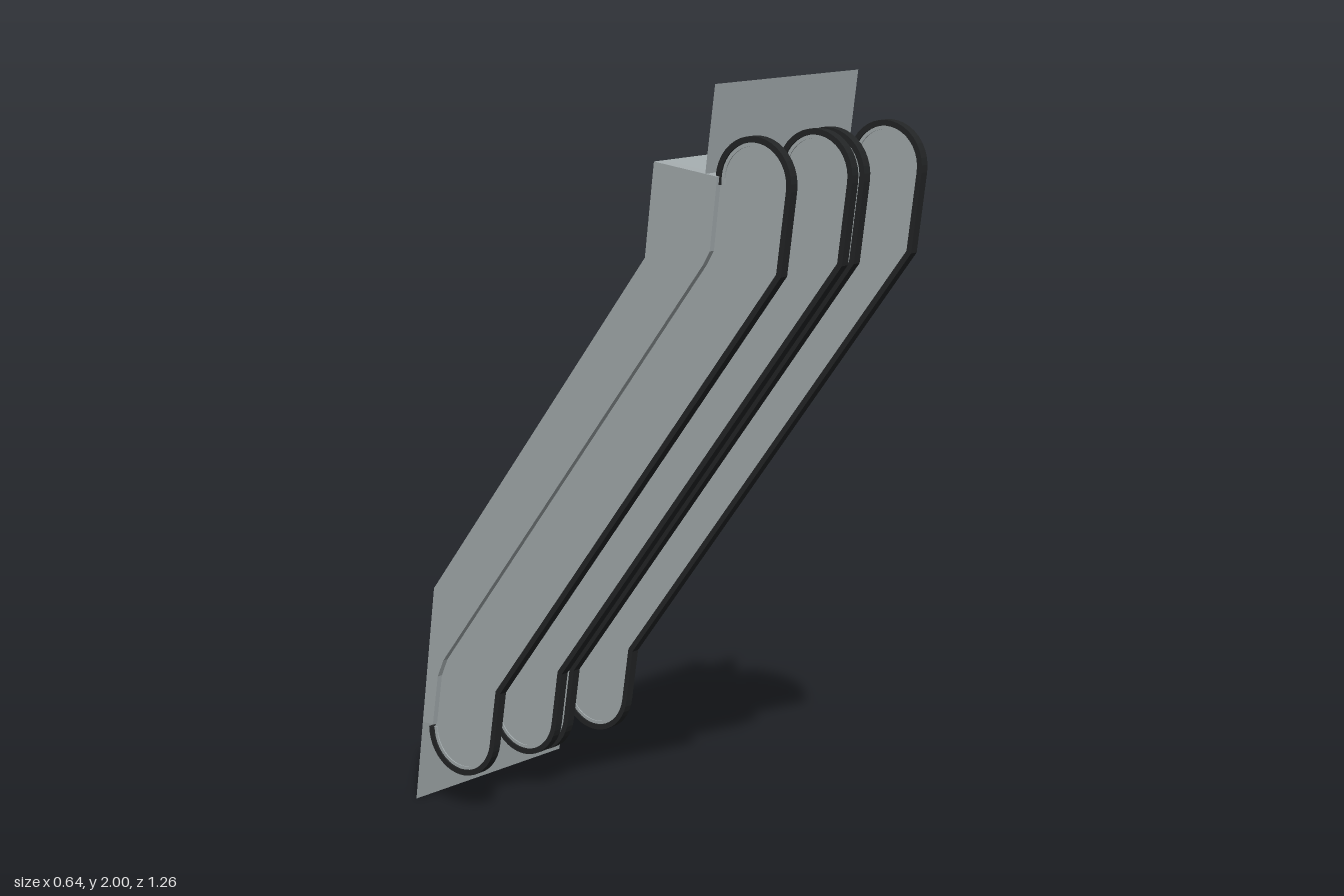
import * as THREE from 'three';

// Profiles are lists of [z, y]; every part is a profile swept across x.
const UNDERSIDE = [[0.365, 1.776], [0.206, 1.8], [0.177, 1.558], [-0.547, 0.604], [-0.623, 0]];
const TOP_LANDING = [[0.395, 2], [0.36, 1.738]];
const DECK = [[0.402, 1.775], [0.38, 1.59], [0.358, 1.553], [-0.517, 0.408], [-0.538, 0.36], [-0.558, 0.223]];
const T = [0.13, 0.9915]; // direction along a tread
const N = [0.9915, -0.13]; // direction out of a tread

const material = (name, color, side = THREE.FrontSide) => {
  const m = new THREE.MeshStandardMaterial({ color, side });
  m.name = name;
  return m;
};

// Solid: closed profile extruded to a width centred on x
function slab(profile, x, width) {
  const shape = new THREE.Shape(profile.map(([z, y]) => new THREE.Vector2(z, y)));
  const g = new THREE.ExtrudeGeometry(shape, { depth: width, bevelEnabled: false });
  return g.translate(0, 0, -width / 2).rotateY(-Math.PI / 2).translate(x, 0, 0);
}

// Sheet: open profiles swept from x0 to x1, with flat facets
function sheet(strips) {
  const pos = [];
  for (const { profile, x0, x1 } of strips) {
    for (let i = 0; i < profile.length - 1; i++) {
      const [az, ay] = profile[i], [bz, by] = profile[i + 1];
      pos.push(x0, ay, az, x0, by, bz, x1, by, bz, x0, ay, az, x1, by, bz, x1, ay, az);
    }
  }
  const g = new THREE.BufferGeometry();
  g.setAttribute('position', new THREE.Float32BufferAttribute(pos, 3));
  g.computeVertexNormals();
  return g;
}

// Balustrade outline, inset by k: top newel arc, two bends, bottom newel arc
function outline(k) {
  const pts = [];
  const arc = (cz, cy, r, from, to) => {
    for (let i = 0; i <= 20; i++) {
      const a = THREE.MathUtils.degToRad(from + (to - from) * i / 20);
      pts.push([cz + (r - k) * Math.cos(a), cy + (r - k) * Math.sin(a)]);
    }
  };
  arc(0.504, 1.765, 0.114, 186, -7.5);
  pts.push([0.589 - 0.95 * k, 1.542 + 0.39 * k], [-0.325 - 0.95 * k, 0.344 + 0.39 * k]);
  arc(-0.463, 0.212, 0.117, -7.5, -180);
  return pts;
}

const along = (p, t, n) => [p[0] + T[0] * t + N[0] * n, p[1] + T[1] * t + N[1] * n];

export function createModel() {
  const panelGrey = material('panel grey', 0xa4acae);
  const sheetGrey = material('cladding grey', 0xa4acae, THREE.DoubleSide);
  const rubber = material('handrail black', 0x232526);
  const stepGrey = material('step grey', 0x6c6c6c, THREE.DoubleSide);
  const yellow = material('safety yellow', 0xb8a61e, THREE.DoubleSide);

  const model = new THREE.Group();
  model.name = 'twinEscalator';
  const add = (parent, name, geometry, mat) => {
    const m = new THREE.Mesh(geometry, mat);
    m.name = name;
    parent.add(m);
  };

  // Step profile: lower flat tread, fourteen risers with treads, upper flat tread
  const depth = 0.0898, rise = 0.0533;
  const stairs = [[-0.584, 0.27], [-0.556, 0.4875]];
  const treads = [[stairs[0], stairs[1]]];
  let p = stairs[1];
  for (let i = 0; i < 14; i++) {
    const nose = along(p, 0, rise);
    const back = along(nose, i === 13 ? depth + 0.1 : depth, 0);
    stairs.push(nose, back);
    treads.push([nose, back]);
    p = back;
  }

  const trussSide = [...DECK, [-0.595, 0.223], UNDERSIDE[3], UNDERSIDE[2], UNDERSIDE[1]];
  const railProfile = [...outline(0), ...outline(0.015).reverse()];
  const panelProfile = [...outline(0.013), ...[...DECK].reverse()];
  const trimProfile = [...outline(0.013), ...outline(0.024).reverse()];

  for (const s of [1, -1]) {
    const unit = new THREE.Group();
    unit.name = s > 0 ? 'leftEscalator' : 'rightEscalator';
    const span = (profile, a, b) => ({ profile, x0: Math.min(s * a, s * b), x1: Math.max(s * a, s * b) });

    // Cladding under the truss and the landing plates
    add(unit, 'undersideCladding', sheet([span(UNDERSIDE, 0, 0.306)]), sheetGrey);
    add(unit, 'topLanding', sheet([span(TOP_LANDING, 0, 0.306)]), sheetGrey);

    // Balustrades on both sides of the steps
    for (const x of [0.026, 0.284]) {
      add(unit, 'trussSide', slab(trussSide, s * x, 0.044), panelGrey);
      add(unit, 'balustradePanel', slab(panelProfile, s * x, 0.01), panelGrey);
      add(unit, 'railGuide', slab(trimProfile, s * x, 0.016), panelGrey);
      add(unit, 'handrail', slab(railProfile, s * x, 0.026), rubber);
    }

    // Steps with yellow edge lines
    add(unit, 'steps', sheet([span(stairs, 0.05, 0.26)]), stepGrey);
    const lines = [];
    for (const [a, b] of treads) {
      const edge = [along(a, 0, 0.002), along(b, 0, 0.002)];
      lines.push(span(edge, 0.05, 0.059), span(edge, 0.251, 0.26));
      lines.push(span([edge[0], along(edge[0], 0.003, 0)], 0.059, 0.251));
    }
    add(unit, 'stepEdgeLines', sheet(lines), yellow);
    model.add(unit);
  }

  model.rotation.y = -0.025;
  model.position.x = -0.003;
  const root = new THREE.Group();
  root.name = 'escalators';
  root.add(model);
  return root;
}
